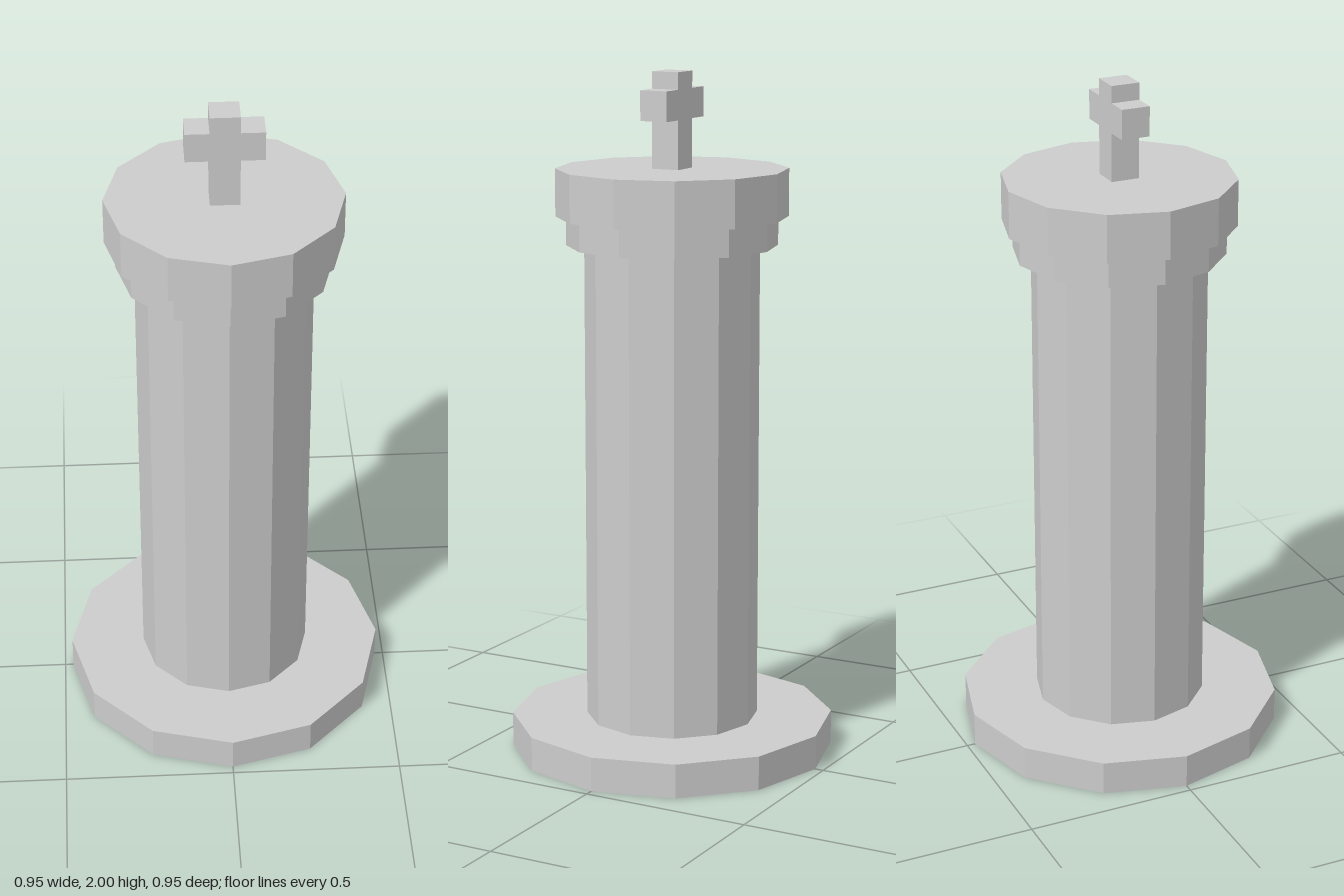
import * as THREE from 'three';

export function createModel() {
  const model = new THREE.Group();
  const stone = new THREE.MeshStandardMaterial({ color: 0xcccccc, flatShading: true });
  stone.name = 'lightGrey';

  // Twelve-sided drum spanning two heights
  const drum = (name, radius, bottom, top) => {
    const mesh = new THREE.Mesh(new THREE.CylinderGeometry(radius, radius, top - bottom, 12), stone);
    mesh.name = name;
    mesh.position.y = (bottom + top) / 2;
    model.add(mesh);
  };
  drum('base', 0.475, 0, 0.1);
  drum('column', 0.253, 0.1, 1.503);
  drum('collar', 0.305, 1.503, 1.586);
  drum('cap', 0.335, 1.586, 1.724);

  // Cross finial, one outline extruded front to back
  const w = 0.042, arm = 0.11, foot = 1.724, low = 1.865, high = 1.951, top = 2;
  const half = [[w, foot], [w, low], [arm, low], [arm, high], [w, high], [w, top]];
  const outline = [...half, ...half.map(([x, y]) => [-x, y]).reverse()];
  const shape = new THREE.Shape(outline.map(([x, y]) => new THREE.Vector2(x, y)));
  const geometry = new THREE.ExtrudeGeometry(shape, { depth: 2 * w, bevelEnabled: false });
  geometry.translate(0, 0, -w);
  const cross = new THREE.Mesh(geometry, stone);
  cross.name = 'crossFinial';
  model.add(cross);

  return model;
}
